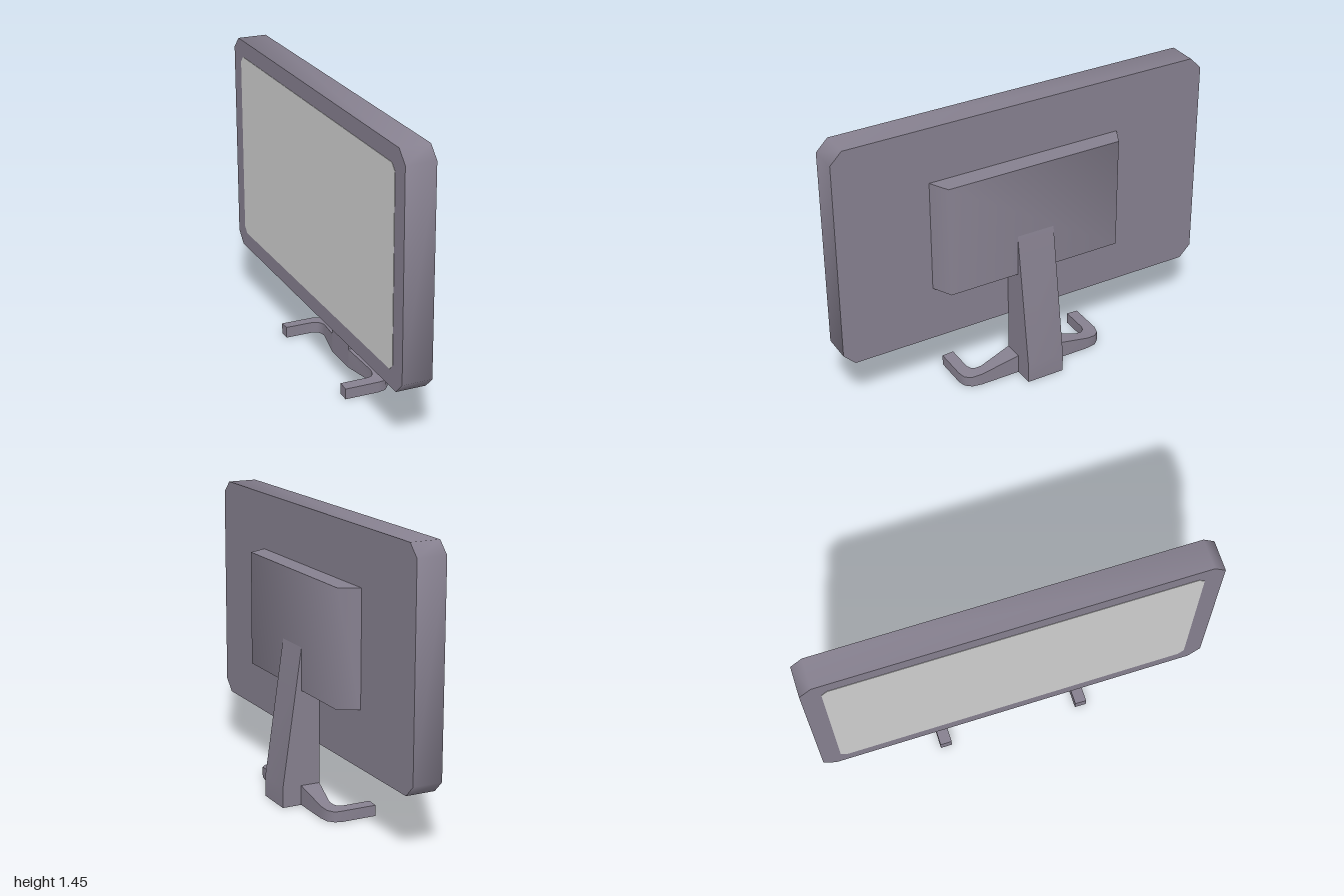
import * as THREE from 'three';
import { toCreasedNormals } from 'three/addons/utils/BufferGeometryUtils.js';

// Extrudes a polygon along z, keeping shallow corners smooth.
function prism(points, depth, crease = 1) {
  const shape = new THREE.Shape(points.map(([x, y]) => new THREE.Vector2(x, y)));
  return toCreasedNormals(new THREE.ExtrudeGeometry(shape, { depth, bevelEnabled: false }), crease);
}

// Rectangle with cut corners, centred on the origin.
function cutRect(w, h, c) {
  return [
    [w - c, -h], [w, -h + c], [w, h - c], [w - c, h],
    [-w + c, h], [-w, h - c], [-w, -h + c], [-w + c, -h],
  ];
}

// Leg swept through sections of [inner x, inner z, outer x, outer z, inner height, outer height].
function legGeometry(side) {
  const sections = [
    [-0.025, 0.09, 0.075, 0.09, 0.1, 0.1],
    [-0.025, 0.1, 0.075, 0.1, 0.1, 0.1],
    [0.012, 0.28, 0.075, 0.31, 0.064, 0.062],
    [0.008, 0.31, 0.066, 0.36, 0.06, 0.055],
    [-0.005, 0.33, 0.04, 0.39, 0.058, 0.052],
    [-0.03, 0.34, 0, 0.4, 0.058, 0.055],
    [-0.175, 0.34, -0.175, 0.4, 0.058, 0.055],
  ];
  const rings = sections.map(([ix, iz, ox, oz, ih, oh]) => [
    [ix, 0, iz * side], [ox, 0, oz * side], [ox, oh, oz * side], [ix, ih, iz * side],
  ]);
  const positions = [];
  const tri = (a, b, c) => positions.push(...a, ...(side > 0 ? [...b, ...c] : [...c, ...b]));
  const quad = (a, b, c, d) => { tri(a, b, c); tri(a, c, d); };
  for (let i = 0; i < rings.length - 1; i++) {
    const r = rings[i], n = rings[i + 1];
    for (let j = 0; j < 4; j++) {
      const k = (j + 1) % 4;
      quad(r[j], r[k], n[k], n[j]);
    }
  }
  quad(...rings[rings.length - 1]);
  quad(...[...rings[0]].reverse());
  const geometry = new THREE.BufferGeometry();
  geometry.setAttribute('position', new THREE.Float32BufferAttribute(positions, 3));
  return toCreasedNormals(geometry, 0.9);
}

export function createModel() {
  const model = new THREE.Group();
  model.name = 'monitor';
  const plastic = new THREE.MeshStandardMaterial({ color: 0x86808f });
  plastic.name = 'grey plastic';
  const glass = new THREE.MeshStandardMaterial({ color: 0xcfcfcf });
  glass.name = 'light grey screen';

  const add = (name, geometry, material, x = 0, y = 0, z = 0) => {
    const mesh = new THREE.Mesh(geometry, material);
    mesh.name = name;
    mesh.position.set(x, y, z);
    model.add(mesh);
  };

  // Panel housing with cut corners
  add('panel', prism(cutRect(1, 0.575, 0.06), 0.15).rotateY(Math.PI / 2), plastic, -0.175, 0.875);

  // Thin display plate on the front of the panel
  add('screen', prism(cutRect(0.905, 0.49, 0.03), 0.004).rotateY(Math.PI / 2), glass, -0.177, 0.875);

  // Rear housing with sloped ends
  const rear = [[-0.025, -0.515], [0.073, -0.465], [0.073, 0.465], [-0.025, 0.515]];
  add('rearHousing', prism(rear, 0.58, 1.2).rotateX(-Math.PI / 2), plastic, 0, 0.585);

  // Tapered stand column
  const column = [[-0.025, 0], [0.175, 0], [0.175, 0.1], [0.073, 0.8], [-0.025, 0.8]];
  add('standColumn', prism(column, 0.2), plastic, 0, 0, -0.1);

  // Bent legs, one on each side of the column
  for (const side of [1, -1]) {
    add(side > 0 ? 'frontLeg' : 'backLeg', legGeometry(side), plastic);
  }
  return model;
}
